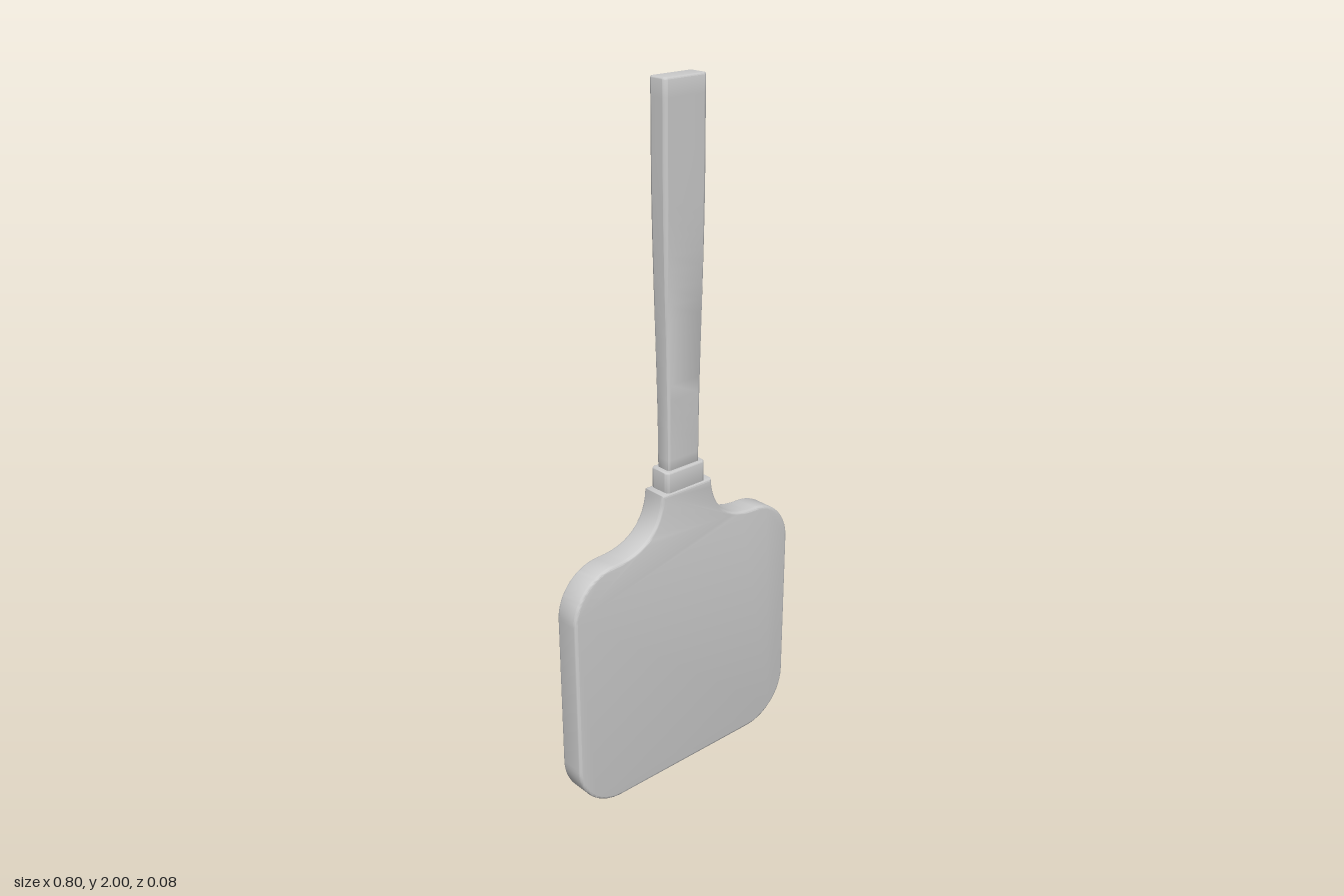
import * as THREE from 'three';
import { toCreasedNormals } from 'three/addons/utils/BufferGeometryUtils.js';

const material = new THREE.MeshStandardMaterial({ color: 0xcccccc });

function addPart(group, name, geometry) {
  const mesh = new THREE.Mesh(toCreasedNormals(geometry, 0.7), material);
  mesh.name = name;
  group.add(mesh);
}

// Extrude with total depth and an edge rounding that stays inside the outline
function extrude(shape, depth, bevel, steps = 1) {
  return new THREE.ExtrudeGeometry(shape, {
    depth: depth - 2 * bevel, steps, curveSegments: 12,
    bevelSize: bevel, bevelThickness: bevel, bevelOffset: -bevel, bevelSegments: 3,
  }).translate(0, 0, bevel);
}

function roundedRect(hx, hy, r) {
  const s = new THREE.Shape();
  s.absarc(hx - r, hy - r, r, 0, Math.PI / 2);
  s.absarc(-hx + r, hy - r, r, Math.PI / 2, Math.PI);
  s.absarc(-hx + r, -hy + r, r, Math.PI, Math.PI * 1.5);
  s.absarc(hx - r, -hy + r, r, Math.PI * 1.5, Math.PI * 2);
  return s;
}

// Upright bar of rounded rectangular section, from y0 to y1
function bar(hx, hz, r, y0, y1, bevel, steps) {
  return extrude(roundedRect(hx, hz, r), y1 - y0, bevel, steps)
    .rotateX(-Math.PI / 2).translate(0, y0, 0);
}

export function createModel() {
  const group = new THREE.Group();
  group.name = 'paddle';

  // Flat square blade with rounded corners, sweeping up into a short neck
  const s = new THREE.Shape();
  s.moveTo(-0.25, 0);
  s.lineTo(0.25, 0);
  s.absarc(0.25, 0.15, 0.15, -Math.PI / 2, 0);
  s.lineTo(0.4, 0.61);
  s.absarc(0.26, 0.61, 0.14, 0, Math.PI / 2);
  s.bezierCurveTo(0.16, 0.75, 0.095, 0.8, 0.09, 0.9);
  s.lineTo(-0.09, 0.9);
  s.bezierCurveTo(-0.095, 0.8, -0.16, 0.75, -0.26, 0.75);
  s.absarc(-0.26, 0.61, 0.14, Math.PI / 2, Math.PI);
  s.lineTo(-0.4, 0.15);
  s.absarc(-0.25, 0.15, 0.15, Math.PI, Math.PI * 1.5);
  addPart(group, 'blade', extrude(s, 0.078, 0.008).translate(0, 0, -0.039));

  // Collar between blade and handle
  addPart(group, 'collar', bar(0.07, 0.034, 0.012, 0.89, 0.96, 0.005, 1));

  // Handle, narrower towards the collar
  const handle = bar(0.07, 0.03, 0.01, 0.94, 2, 0.005, 24);
  const p = handle.attributes.position;
  for (let i = 0; i < p.count; i++) {
    const k = 0.8 + 0.2 * THREE.MathUtils.smoothstep(p.getY(i), 0.96, 1.8);
    p.setX(i, p.getX(i) * k);
    p.setZ(i, p.getZ(i) * k);
  }
  addPart(group, 'handle', handle);
  return group;
}
